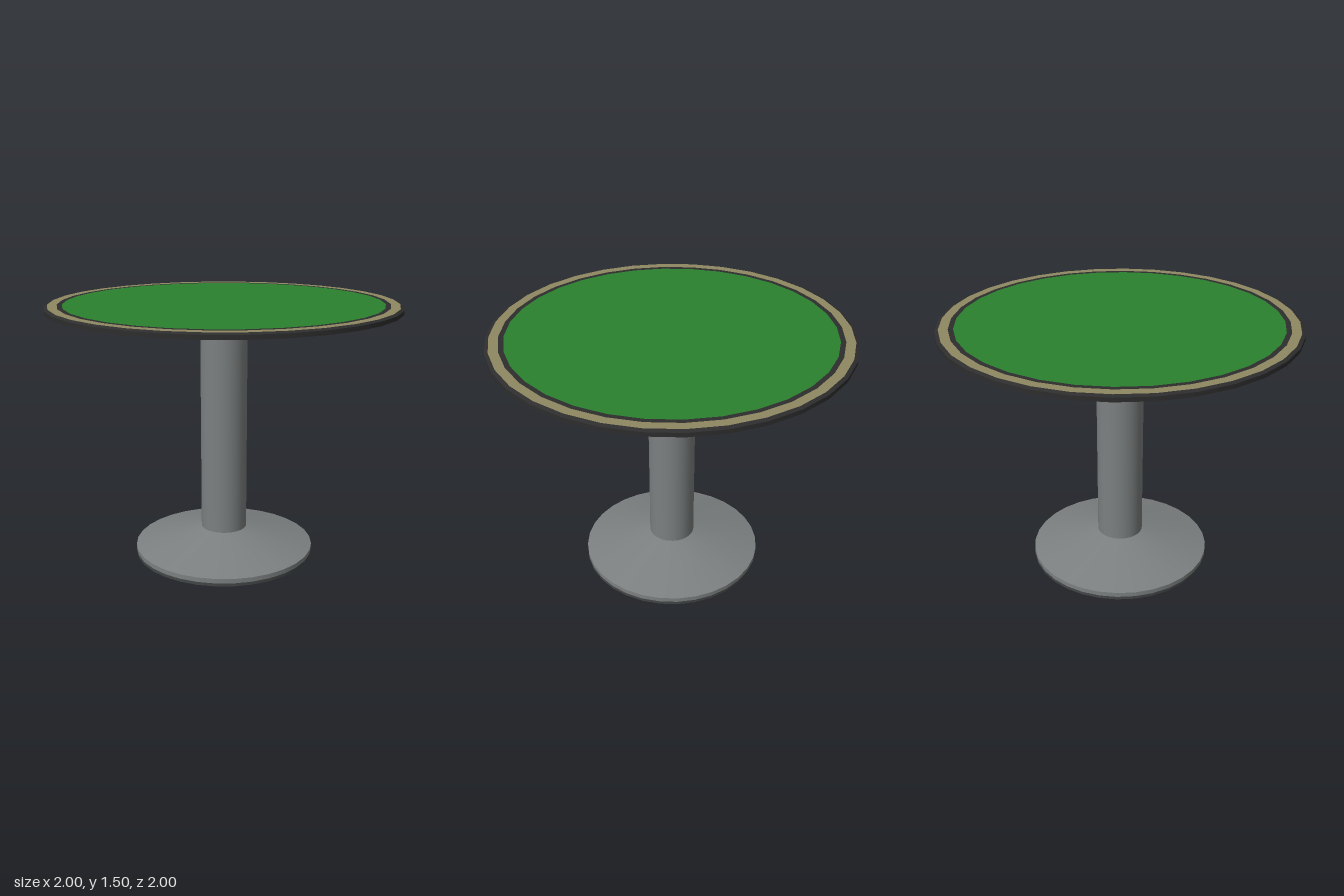
import * as THREE from 'three';

const SIDES = 32;
const paint = (color) => new THREE.MeshStandardMaterial({ color });
const DARK = paint(0x2d2d2d);
const TAN = paint(0x8f8862);
const GREEN = paint(0x2a822d);
const METAL = paint(0x7c8080);
const SHADOW_METAL = paint(0x434646);

// Turns each profile segment as its own band so that edges stay sharp.
// Profiles run [radius, y] from the bottom centre outward and up.
function turned(name, material, profile) {
  const part = new THREE.Group();
  part.name = name;
  for (let i = 0; i + 1 < profile.length; i++) {
    const points = [profile[i], profile[i + 1]].map(([r, y]) => new THREE.Vector2(r, y));
    const band = new THREE.Mesh(new THREE.LatheGeometry(points, SIDES), material);
    band.name = name + 'Surface';
    part.add(band);
  }
  return part;
}

export function createModel() {
  const table = new THREE.Group();
  table.name = 'pedestalTable';

  table.add(
    // Foot: flat underside, dark lower rim and shallow cone
    turned('footRim', SHADOW_METAL, [[0, 0], [0.53, 0], [0.53, 0.018]]),
    turned('foot', METAL, [[0.53, 0.018], [0.53, 0.045], [0.135, 0.15]]),

    // Column with a dark collar beneath the top
    turned('column', METAL, [[0.135, 0.15], [0.135, 1.395]]),
    turned('collar', SHADOW_METAL, [[0.135, 1.395], [0.135, 1.467]]),

    // Thin top: underside and bevelled edge, then flush rings and felt
    turned('tableTop', DARK, [[0, 1.467], [1, 1.467], [1, 1.49], [0.98, 1.498]]),
    turned('rimRing', TAN, [[0.98, 1.498], [0.928, 1.498]]),
    turned('innerTrim', DARK, [[0.928, 1.498], [0.9, 1.498]]),
    turned('felt', GREEN, [[0.9, 1.498], [0, 1.498]])
  );
  return table;
}
